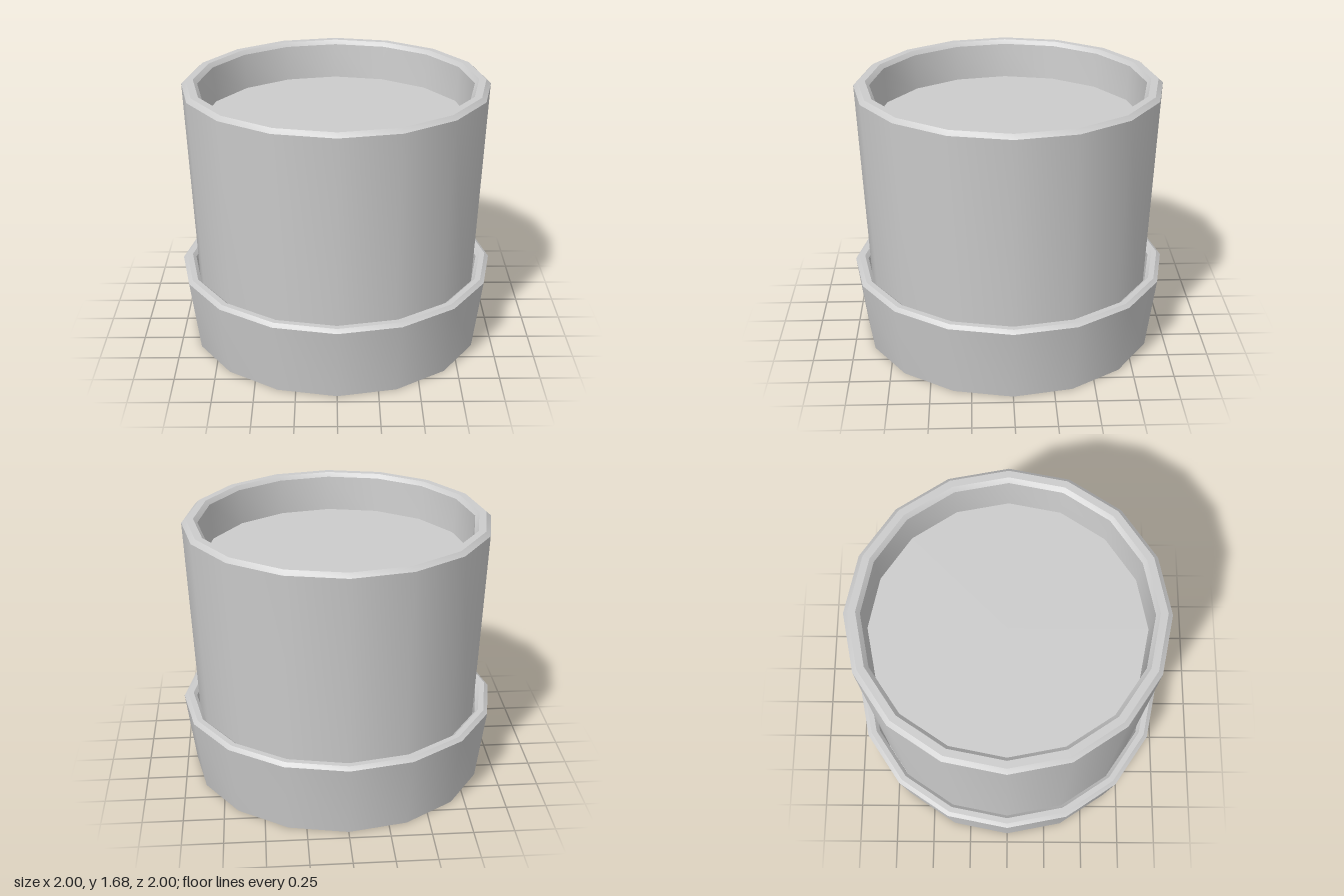
import * as THREE from 'three';
import { toCreasedNormals } from 'three/addons/utils/BufferGeometryUtils.js';

const SIDES = 16;

export function createModel() {
  const group = new THREE.Group();
  const material = new THREE.MeshStandardMaterial({ color: 0xcccccc });

  // Turned part: profile of [radius, height], from the outside bottom over the rim to the inside
  function turned(name, profile) {
    const points = profile.map(([r, y]) => new THREE.Vector2(r, y));
    const geometry = toCreasedNormals(new THREE.LatheGeometry(points, SIDES), 0.65);
    const mesh = new THREE.Mesh(geometry, material);
    mesh.name = name;
    group.add(mesh);
  }

  // Saucer with flared wall and bevelled rim
  turned('saucer', [
    [0, 0], [0.94, 0], [1, 0.465], [0.975, 0.485],
    [0.94, 0.485], [0.918, 0.465], [0.89, 0.06], [0, 0.06],
  ]);

  // Tapered pot, hollow down to the soil
  turned('pot', [
    [0, 0.06], [0.888, 0.06], [0.953, 1.655], [0.925, 1.68],
    [0.88, 1.68], [0.855, 1.655], [0.835, 1.4],
  ]);

  // Flat soil surface inside the pot
  const soil = new THREE.Mesh(new THREE.CircleGeometry(0.838, SIDES), material);
  soil.name = 'soil';
  soil.rotation.x = -Math.PI / 2;
  soil.position.y = 1.43;
  group.add(soil);

  return group;
}
